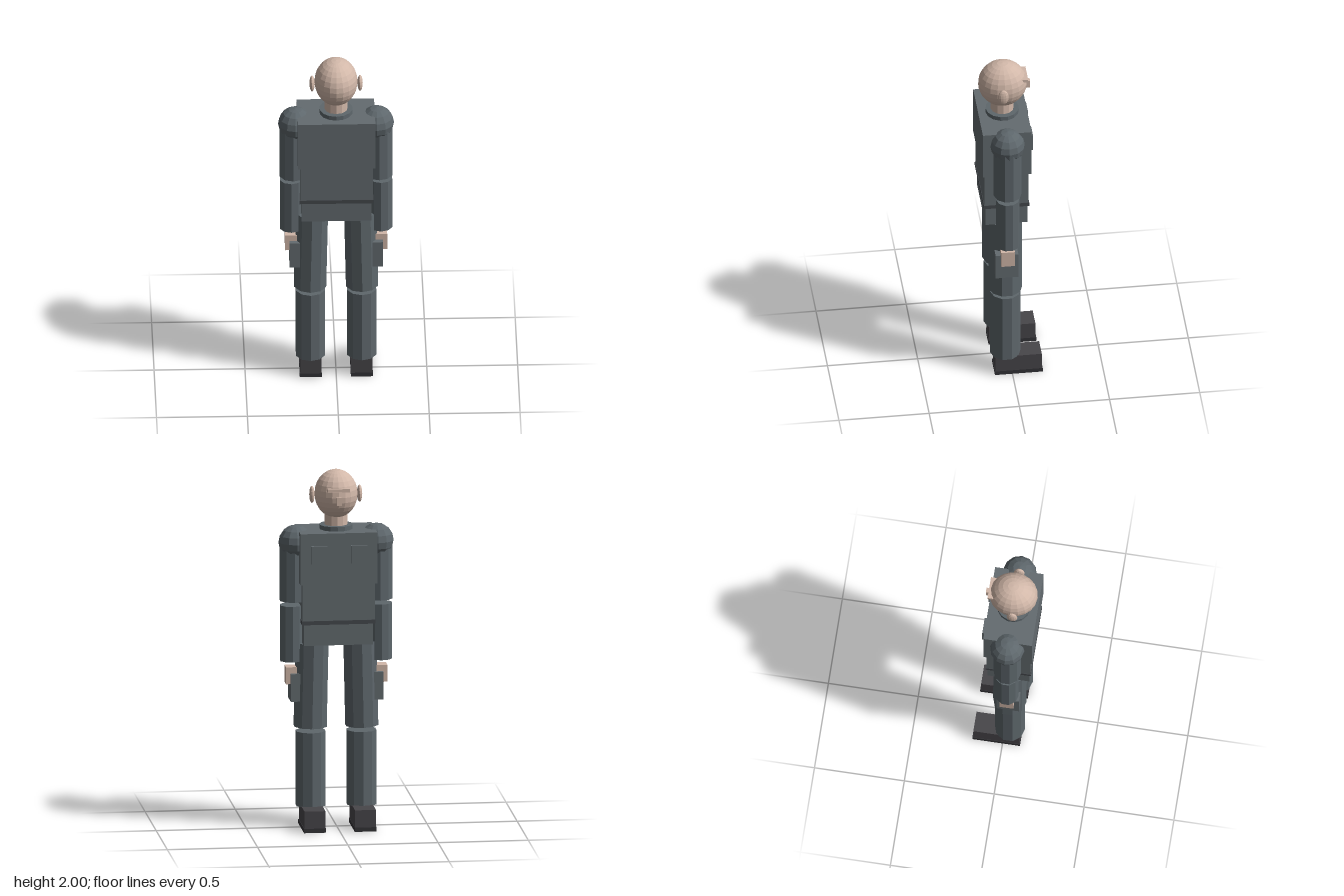
import * as THREE from 'three';

const material = (name, color) => {
  const m = new THREE.MeshStandardMaterial({ color, flatShading: true });
  m.name = name;
  return m;
};

export function createModel() {
  const skin = material('skin', 0xd2b8a9);
  const suit = material('suit grey', 0x646c70);
  const limb = material('limb grey', 0x5e676c);
  const belt = material('belt dark grey', 0x45494d);
  const boot = material('boot charcoal', 0x48464a);
  const sole = material('sole black', 0x343337);

  const group = new THREE.Group();
  group.name = 'figure';
  const Z = 0.032; // body axis depth; the face and toes point to -z

  const add = (name, geometry, mat) => {
    const mesh = new THREE.Mesh(geometry, mat);
    mesh.name = name;
    group.add(mesh);
    return mesh;
  };

  // Box given by its limits on each axis
  const box = (name, mat, [x0, x1], [y0, y1], [z0, z1]) => {
    const mesh = add(name, new THREE.BoxGeometry(Math.abs(x1 - x0), y1 - y0, z1 - z0), mat);
    mesh.position.set((x0 + x1) / 2, (y0 + y1) / 2, (z0 + z1) / 2);
  };

  // Upright cylinder, optionally leaning from xBottom to xTop
  const tube = (name, mat, r, y0, y1, xBottom = 0, xTop = xBottom, sides = 10) => {
    const mesh = add(name, new THREE.CylinderGeometry(r, r, y1 - y0, sides), mat);
    mesh.position.set((xBottom + xTop) / 2, (y0 + y1) / 2, Z);
    mesh.rotation.z = -Math.atan2(xTop - xBottom, y1 - y0);
  };

  const ball = (name, mat, radii, centre, w, h) => {
    const mesh = add(name, new THREE.SphereGeometry(1, w, h), mat);
    mesh.scale.set(...radii);
    mesh.position.set(...centre);
  };

  // Head and neck
  ball('head', skin, [0.119, 0.135, 0.135], [0, 1.865, 0.03], 20, 14);
  box('brow', skin, [-0.062, 0.062], [1.898, 1.916], [-0.105, -0.07]);
  box('nose', skin, [-0.014, 0.014], [1.825, 1.87], [-0.122, -0.08]);
  tube('neck', skin, 0.064, 1.66, 1.76, 0, 0, 12);
  tube('collar', limb, 0.092, 1.655, 1.693, 0, 0, 14);

  // Torso
  box('chest', suit, [-0.213, 0.213], [1.38, 1.668], [-0.105, 0.165]);
  box('abdomen', suit, [-0.2, 0.2], [1.175, 1.38], [-0.09, 0.155]);
  box('belt', belt, [-0.203, 0.203], [1.153, 1.175], [-0.093, 0.158]);
  box('pelvis', suit, [-0.192, 0.192], [1.035, 1.153], [-0.084, 0.148]);

  for (const s of [-1, 1]) {
    const span = (a, b) => [s * a, s * b];
    ball('ear', skin, [0.015, 0.048, 0.03], [s * 0.132, 1.86, 0.042], 12, 8);
    box('chestPocket', suit, span(0.066, 0.155), [1.5, 1.6], [-0.12, -0.1]);

    // Arms
    ball('shoulder', limb, [0.095, 0.095, 0.095], [s * 0.224, 1.598, 0.03], 12, 8);
    tube('upperArm', limb, 0.077, 1.27, 1.6, s * 0.237);
    tube('forearm', limb, 0.065, 0.932, 1.245, s * 0.247);
    box('hand', skin, span(0.212, 0.281), [0.805, 0.9], [-0.004, 0.072]);

    // Legs
    tube('thigh', limb, 0.093, 0.56, 1.033, s * 0.143, s * 0.133);
    box('thighPouch', suit, span(0.2, 0.257), [0.71, 0.865], [-0.026, 0.1]);
    tube('shin', limb, 0.084, 0.115, 0.535, s * 0.141);
    box('boot', boot, span(0.082, 0.198), [0.024, 0.12], [-0.163, 0.094]);
    box('sole', sole, span(0.08, 0.201), [0, 0.024], [-0.168, 0.097]);
  }
  return group;
}
